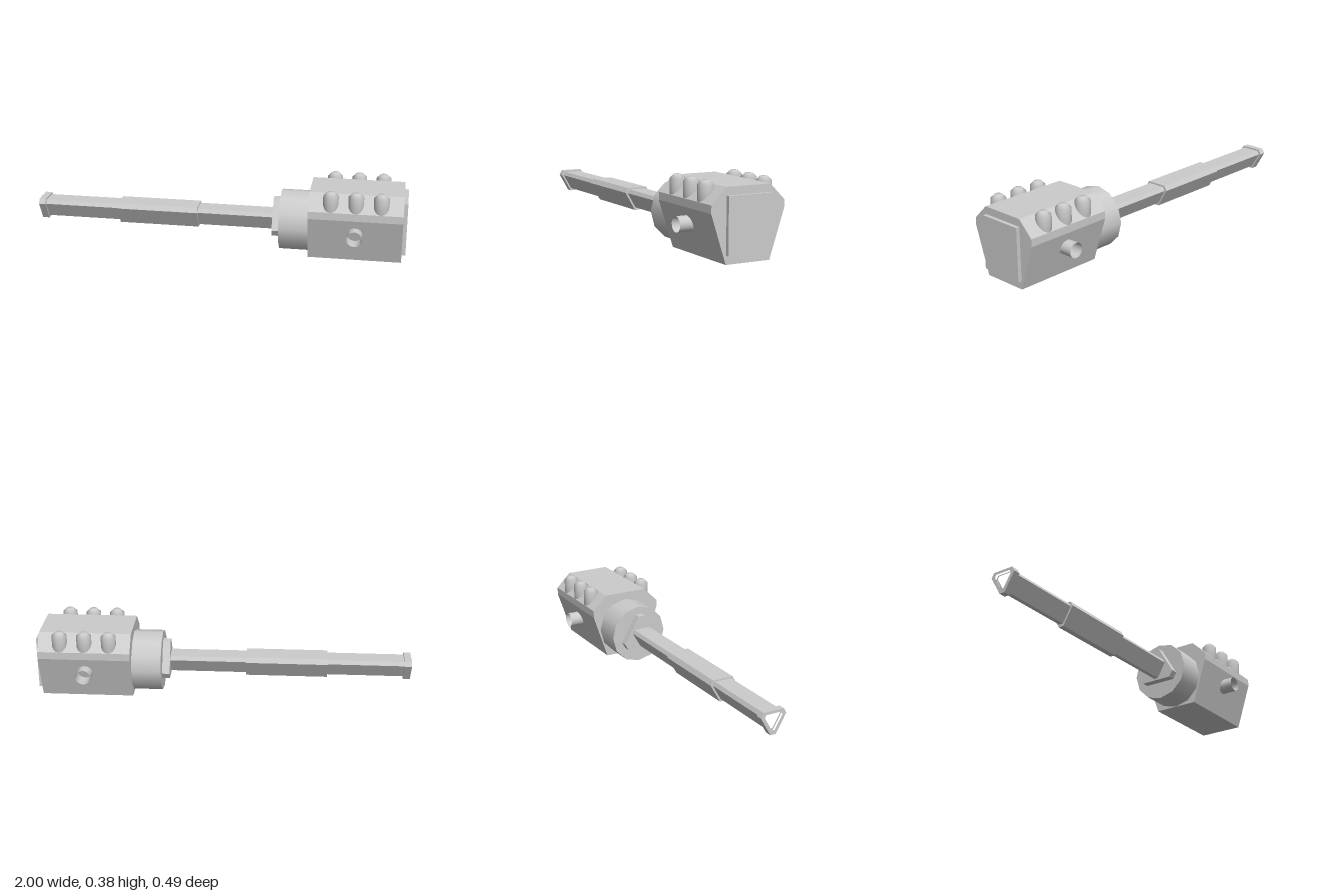
import * as THREE from 'three';

const grey = new THREE.MeshStandardMaterial({ color: 0xcccccc });
const thin = new THREE.MeshStandardMaterial({ color: 0xcccccc, side: THREE.DoubleSide });

// Triangle with cut corners as [z, y] points; y0 is its lower edge, point up or down
function cutTriangle(width, cut, y0, pointUp) {
  const k = Math.sqrt(3) / 2, h = k * width;
  const half = [[cut / 2, 0], [width / 2, h - k * cut], [(width - cut) / 2, h]];
  const pts = [...half, ...half.map(([z, y]) => [-z, y]).reverse()];
  return pts.map(([z, y]) => [z, y0 + (pointUp ? h - y : y)]);
}

// Extrude a [z, y] section from x0 to x1, optionally hollow
function prism(name, section, x0, x1, hole) {
  const toVec = ([z, y]) => new THREE.Vector2(-z, y);
  const shape = new THREE.Shape(section.map(toVec));
  if (hole) shape.holes.push(new THREE.Path(hole.map(toVec)));
  const geo = new THREE.ExtrudeGeometry(shape, { depth: x1 - x0, bevelEnabled: false });
  geo.rotateY(Math.PI / 2).translate(x0, 0, 0);
  const mesh = new THREE.Mesh(geo, grey);
  mesh.name = name;
  return mesh;
}

export function createModel() {
  const model = new THREE.Group();
  model.name = 'turretGun';

  // Housing with sloped sides and chamfered top
  const half = [[0.122, 0], [0.203, 0.245], [0.203, 0.285], [0.122, 0.365]];
  const section = [...half, ...half.map(([z, y]) => [-z, y]).reverse()];
  model.add(prism('housing', section, 0.49, 0.98));

  // Rear plate
  const plate = new THREE.Mesh(new THREE.BoxGeometry(0.04, 0.282, 0.242), grey);
  plate.name = 'rearPlate';
  plate.position.set(0.98, 0.184, 0);
  model.add(plate);

  // Round collar and triangular barrel mount
  const collar = new THREE.Mesh(new THREE.CylinderGeometry(0.162, 0.162, 0.167, 12), grey);
  collar.name = 'collar';
  collar.rotation.z = Math.PI / 2;
  collar.position.set(0.4165, 0.163, 0);
  model.add(collar);
  model.add(prism('barrelMount', cutTriangle(0.215, 0.04, 0.095, true), 0.292, 0.34));

  // Hollow barrel, sleeve and muzzle rim
  const bore = cutTriangle(0.1, 0.016, 0.115, false);
  model.add(prism('barrel', cutTriangle(0.118, 0.023, 0.105, false), -0.98, 0.3, bore));
  const outer = cutTriangle(0.144, 0.03, 0.091, false);
  model.add(prism('barrelSleeve', outer, -0.555, -0.117, bore));
  model.add(prism('muzzleRim', outer, -1, -0.963, bore));

  for (const side of [-1, 1]) {
    // Row of capped studs on each shoulder
    for (const x of [0.605, 0.735, 0.865]) {
      const profile = [[0, 0.24], [0.04, 0.24], [0.04, 0.365], [0.02, 0.385], [0, 0.385]];
      const stud = new THREE.Mesh(
        new THREE.LatheGeometry(profile.map(([r, y]) => new THREE.Vector2(r, y)), 16), grey);
      stud.name = side > 0 ? 'leftStud' : 'rightStud';
      stud.position.set(x, 0, side * 0.163);
      model.add(stud);
    }
    // Open pivot tube on each flank
    const pivot = new THREE.Mesh(
      new THREE.CylinderGeometry(0.04, 0.04, 0.12, 16, 1, true), thin);
    pivot.name = side > 0 ? 'leftPivot' : 'rightPivot';
    pivot.rotation.x = Math.PI / 2;
    pivot.position.set(0.735, 0.163, side * 0.187);
    model.add(pivot);
  }
  return model;
}
